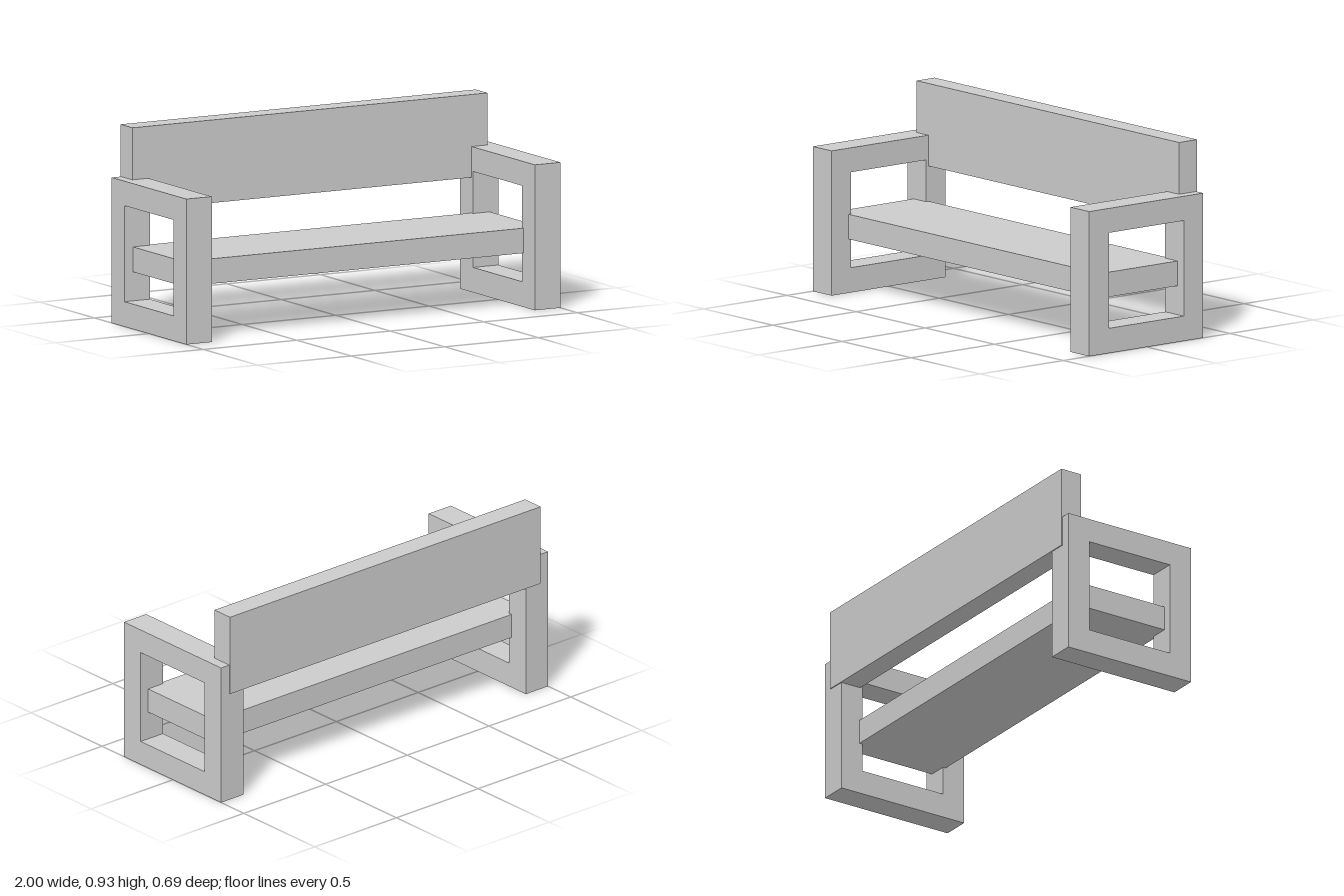
import * as THREE from 'three';

const material = new THREE.MeshStandardMaterial({ color: 0xcccccc, flatShading: true });

// Box given by its min and max along each axis
function slab(name, [x0, x1], [y0, y1], [z0, z1]) {
  const mesh = new THREE.Mesh(new THREE.BoxGeometry(x1 - x0, y1 - y0, z1 - z0), material);
  mesh.position.set((x0 + x1) / 2, (y0 + y1) / 2, (z0 + z1) / 2);
  mesh.name = name;
  return mesh;
}

// Rectangle in the side plane; swapping zA and zB reverses its winding
function rectangle(PathType, zA, zB, y0, y1) {
  return new PathType([[zA, y0], [zB, y0], [zB, y1], [zA, y1]].map(([z, y]) => new THREE.Vector2(-z, y)));
}

export function createModel() {
  const bench = new THREE.Group();
  bench.name = 'bench';

  // Square end frames: counter-clockwise outline, clockwise opening, extruded along x
  const outline = rectangle(THREE.Shape, 0.345, -0.34, 0, 0.682);
  outline.holes.push(rectangle(THREE.Path, -0.223, 0.227, 0.117, 0.567));
  const thickness = 0.136;
  const frameGeometry = new THREE.ExtrudeGeometry(outline, { depth: thickness, bevelEnabled: false });
  frameGeometry.rotateY(Math.PI / 2);
  for (const [name, x] of [['leftEndFrame', 1 - thickness], ['rightEndFrame', -1]]) {
    const frame = new THREE.Mesh(frameGeometry, material);
    frame.name = name;
    frame.position.x = x;
    bench.add(frame);
  }

  // Seat plank, its ends let into the frames
  bench.add(slab('seat', [-0.955, 0.955], [0.253, 0.37], [-0.24, 0.242]));

  // Backrest plank, notched into the rear posts
  bench.add(slab('backrest', [-0.95, 0.95], [0.537, 0.926], [-0.345, -0.236]));

  return bench;
}
